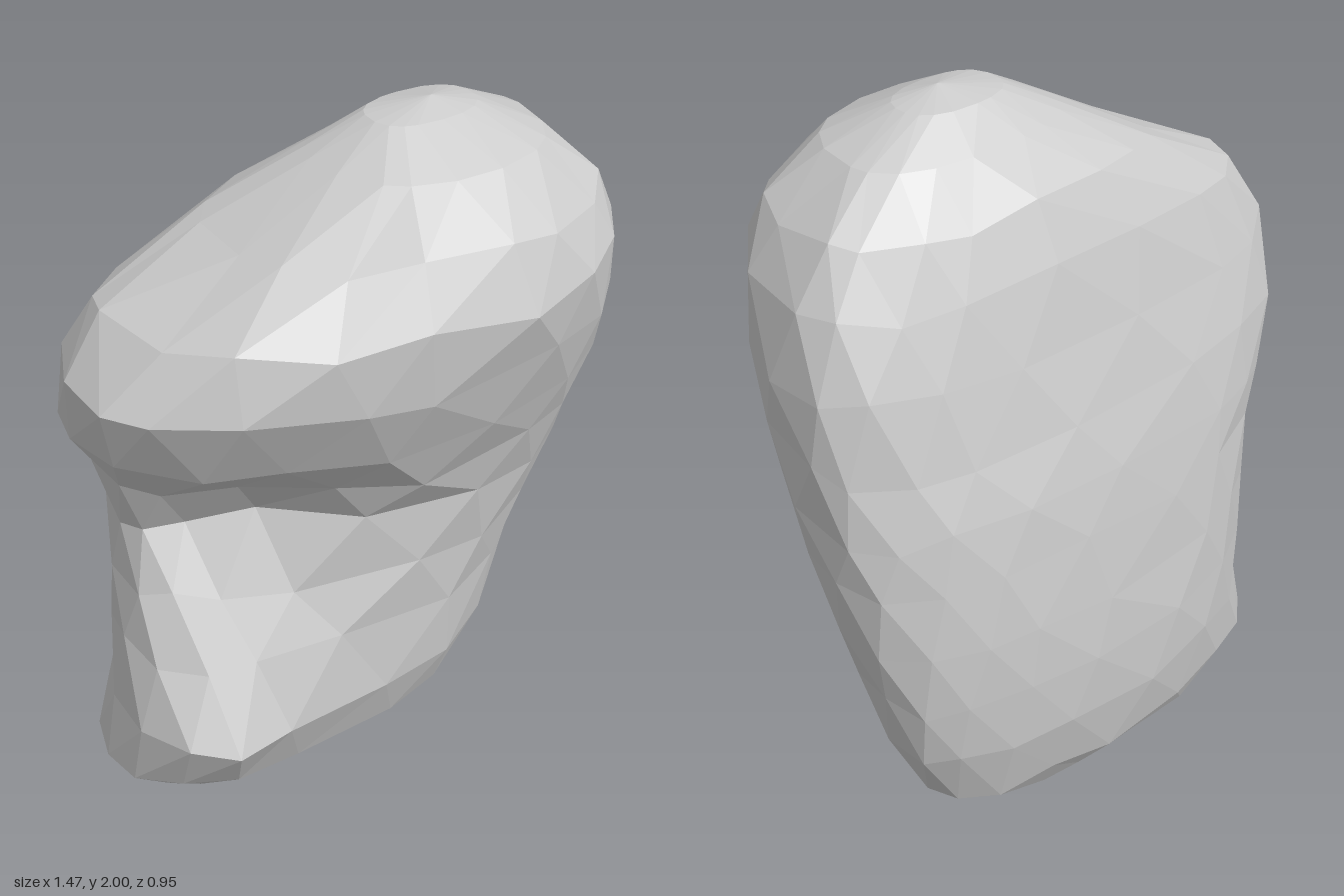
import * as THREE from 'three';

// Cross-sections from bottom to top:
// y, xMin, xMax, zBack, zFront, z of left end, z of right end, roundness of rear and front corner on the -x side
const sections = [
  [0.01, -0.32, 0.17, -0.29, -0.13, -0.2, -0.21, 0.8, 0.8],
  [0.06, -0.62, 0.33, -0.35, -0.01, -0.17, -0.18, 0.8, 0.8],
  [0.2, -0.70, 0.51, -0.43, 0.13, -0.16, -0.22, 0.85, 0.75],
  [0.4, -0.67, 0.6, -0.475, 0.2, -0.05, -0.24, 0.85, 0.75],
  [0.6, -0.63, 0.65, -0.48, 0.21, -0.1, -0.22, 0.8, 0.8],
  [0.78, -0.61, 0.69, -0.47, 0.225, -0.14, -0.2, 0.75, 0.85],
  [0.96, -0.59, 0.715, -0.45, 0.255, -0.15, -0.17, 0.65, 0.9],
  [1.12, -0.63, 0.73, -0.43, 0.31, -0.14, -0.14, 0.6, 0.95],
  [1.28, -0.72, 0.735, -0.395, 0.375, -0.06, -0.12, 0.6, 1],
  [1.46, -0.74, 0.73, -0.35, 0.435, 0.03, -0.1, 0.65, 1],
  [1.64, -0.63, 0.69, -0.3, 0.455, -0.06, -0.04, 0.75, 0.95],
  [1.78, -0.36, 0.61, -0.24, 0.4, -0.04, 0.0, 0.8, 0.9],
  [1.9, -0.11, 0.47, -0.14, 0.27, 0.0, 0.02, 0.8, 0.85],
  [1.975, 0.03, 0.31, -0.06, 0.12, 0.03, 0.03, 0.8, 0.8],
];

// Dents and swellings of the front: x, y, x radius, y radius, depth
const frontShapes = [
  [-0.38, 0.98, 0.28, 0.24, -0.22],  // waist hollow
  [-0.52, 0.37, 0.2, 0.16, 0.1],     // foot
  [0.56, 0.4, 0.24, 0.45, -0.1],     // bevelled lower corner
  [0.25, 1.64, 0.2, 0.16, 0.03],     // brow
];

const SIDES = 18;
const power = (v, p) => Math.sign(v) * Math.abs(v) ** p;

// Seeded value in -1..1 for uneven facets
function seeded(seed) {
  let s = seed;
  return () => {
    s = (s * 16807) % 2147483647;
    return (s / 2147483647) * 2 - 1;
  };
}

function rockGeometry() {
  const rand = seeded(4127);
  const positions = [];
  const index = [];

  sections.forEach(([y, x0, x1, zb, zf, zl, zr, rearCorner, frontCorner], row) => {
    const bump = row === 0 || row > 11 ? 0 : 0.022;
    for (let i = 0; i < SIDES; i++) {
      const a = ((i + (row % 2) * 0.5 + rand() * 0.18) / SIDES) * Math.PI * 2;
      const cos = Math.cos(a), sin = Math.sin(a);
      const p = cos > 0 ? 0.84 : sin > 0 ? frontCorner : rearCorner;
      const u = power(cos, p);
      const v = power(sin, p);
      const x = (x0 + x1) / 2 + (u * (x1 - x0)) / 2;
      const zMid = THREE.MathUtils.lerp(zl, zr, (u + 1) / 2);
      let z = zMid + (v > 0 ? v * (zf - zMid) : -v * (zb - zMid));
      const yy = y + rand() * bump;
      if (v > 0) {
        for (const [bx, by, rx, ry, d] of frontShapes) {
          z += d * Math.min(1, v * 1.6) * Math.exp(-(((x - bx) / rx) ** 2) - ((yy - by) / ry) ** 2);
        }
      }
      positions.push(x, yy, z);
    }
  });

  // Skin between neighbouring sections; odd rows are turned by half a step
  for (let r = 0; r < sections.length - 1; r++) {
    for (let i = 0; i < SIDES; i++) {
      const j = (i + 1) % SIDES;
      const a = r * SIDES + i, b = r * SIDES + j, c = a + SIDES, d = b + SIDES;
      if (r % 2) index.push(a, c, d, a, d, b);
      else index.push(a, c, b, b, c, d);
    }
  }

  // Closed ends
  const bottom = positions.length / 3;
  positions.push(-0.08, 0, -0.21, 0.19, 2, 0.04);
  const last = (sections.length - 1) * SIDES;
  for (let i = 0; i < SIDES; i++) {
    const j = (i + 1) % SIDES;
    index.push(bottom, i, j, bottom + 1, last + j, last + i);
  }

  const geometry = new THREE.BufferGeometry();
  geometry.setAttribute('position', new THREE.Float32BufferAttribute(positions, 3));
  geometry.setIndex(index);
  geometry.computeVertexNormals();
  return geometry;
}

export function createModel() {
  const group = new THREE.Group();
  group.name = 'boulder';
  const rock = new THREE.Mesh(
    rockGeometry(),
    new THREE.MeshStandardMaterial({ color: 0xcccccc, flatShading: true })
  );
  rock.name = 'rock';
  group.add(rock);
  return group;
}
